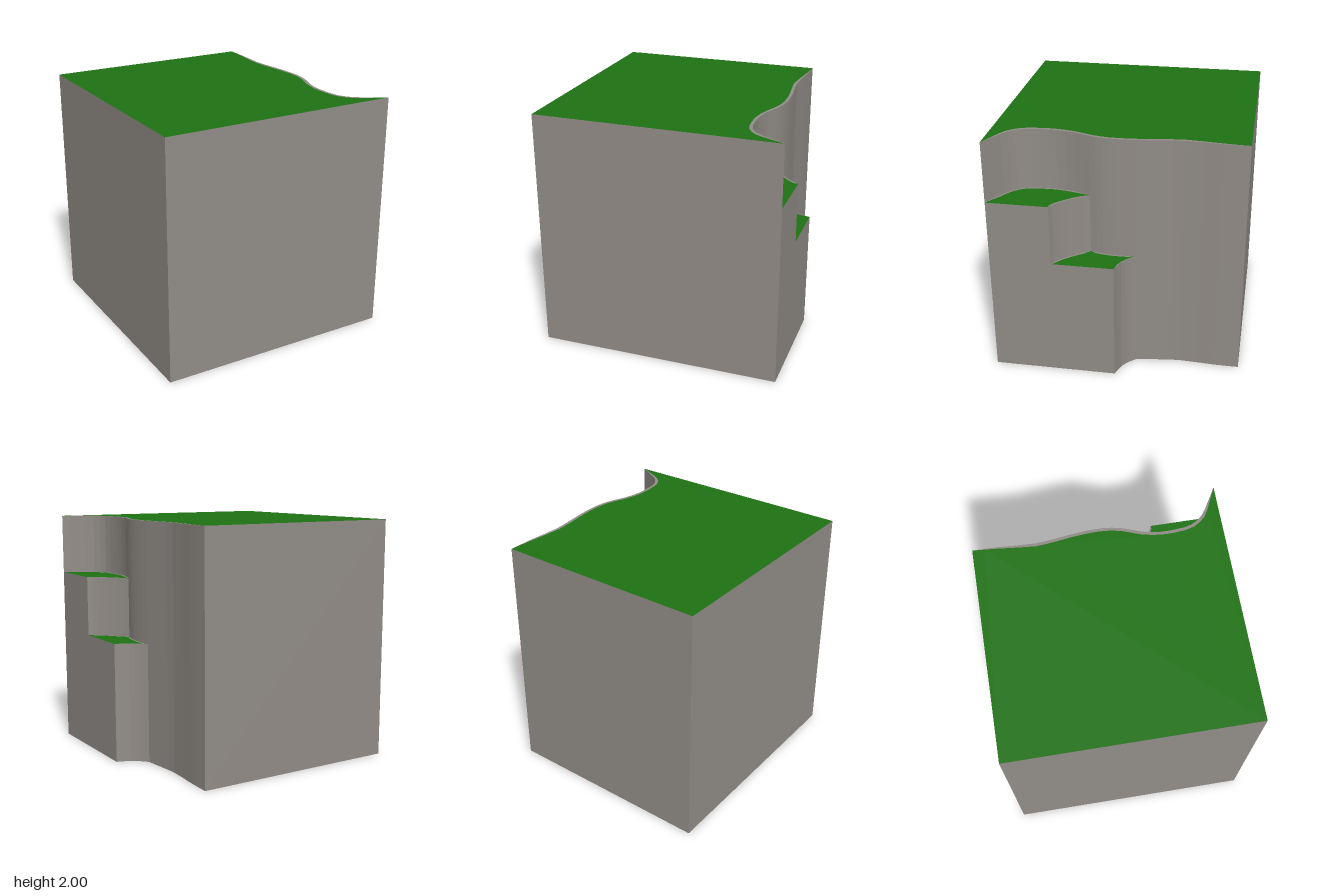
import * as THREE from 'three';

const rock = new THREE.MeshStandardMaterial({ color: 0x918c87, flatShading: true, side: THREE.DoubleSide });
const grass = new THREE.MeshStandardMaterial({ color: 0x1e7213, side: THREE.DoubleSide });

// faceted plan curve through [x, z] points, two facets per span
function planCurve(points) {
  const curve = new THREE.CatmullRomCurve3(points.map(([x, z]) => new THREE.Vector3(x, 0, z)), false, 'centripetal');
  return curve.getPoints(2 * (points.length - 1)).map((p) => [p.x, p.z]);
}

// shift a plan line sideways, tapering to nothing at both ends
function offset(line, width) {
  const last = line.length - 1;
  return line.map(([x, z], i) => {
    const a = line[Math.max(i - 1, 0)], b = line[Math.min(i + 1, last)];
    const dx = b[0] - a[0], dz = b[1] - a[1], len = Math.hypot(dx, dz);
    const t = i / last;
    const w = width * Math.min(1, 7 * t, 7 * (1 - t));
    return [x - (dz / len) * w, z + (dx / len) * w];
  });
}

// strip of faces between two rows of [x, y, z] points
function strip(name, rowA, rowB) {
  const positions = [];
  for (let i = 0; i < rowA.length - 1; i++) {
    const [a, b, c, d] = [rowA[i], rowA[i + 1], rowB[i + 1], rowB[i]];
    positions.push(...a, ...d, ...b, ...b, ...d, ...c);
  }
  const geometry = new THREE.BufferGeometry();
  geometry.setAttribute('position', new THREE.Float32BufferAttribute(positions, 3));
  geometry.computeVertexNormals();
  const mesh = new THREE.Mesh(geometry, rock);
  mesh.name = name;
  return mesh;
}

const at = (line, y) => line.map(([x, z]) => [x, y, z]);
const wall = (name, line, y0, y1) => strip(name, at(line, y1), at(line, y0));
const rim = (name, line, width, y) => strip(name, at(line, y), at(offset(line, width), y));

// flat grass area bounded by a plan outline
function lawn(name, outline, y) {
  const shape = new THREE.Shape(outline.map(([x, z]) => new THREE.Vector2(x, -z)));
  const mesh = new THREE.Mesh(new THREE.ShapeGeometry(shape).rotateX(-Math.PI / 2), grass);
  mesh.position.y = y;
  mesh.name = name;
  return mesh;
}

export function createModel() {
  const group = new THREE.Group();
  group.name = 'steppedCliffBlock';
  const TOP_W = 0.026, LEDGE_W = 0.015, LOW_W = 0.008;

  // main cliff line, split where the ledges join it
  const cliffPoints = [
    [0.75, -1], [0.748, -0.8], [0.732, -0.5], [0.749, -0.33], [0.772, -0.15], [0.78, 0], [0.772, 0.12],
    [0.745, 0.23], [0.70, 0.35], [0.672, 0.5], [0.674, 0.63], [0.696, 0.76], [0.765, 0.855], [0.88, 0.93], [1, 1],
  ];
  const LOWER_JOIN = 4, UPPER_JOIN = 7;
  const cliff = planCurve(cliffPoints);
  const middle = cliff.slice(2 * LOWER_JOIN, 2 * UPPER_JOIN + 1);
  const front = cliff.slice(2 * UPPER_JOIN);

  // rear edges of the two ledges
  const upperEdge = planCurve([cliffPoints[UPPER_JOIN], [0.815, 0.33], [0.895, 0.425], [0.96, 0.48], [1, 0.5]]);
  const lowerEdge = planCurve([cliffPoints[LOWER_JOIN], [0.818, -0.096], [0.888, -0.04], [1, 0]]);

  // outer walls, open underneath
  group.add(
    wall('frontWall', [[-1, 1], [1, 1]], 0, 2),
    wall('rightWall', [[-1, -1], [-1, 1]], 0, 2),
    wall('backWall', [[0.75, -1], [-1, -1]], 0, 2),
    wall('cliffWall', cliff, 0, 2),
    wall('upperLedgeSide', [[1, 1], [1, 0.5]], 0, 1.5),
    wall('upperLedgeBack', upperEdge, 0, 1.5),
    wall('lowerLedgeSide', [[1, 0.5], [1, 0]], 0, 1),
    wall('lowerLedgeBack', lowerEdge, 0, 1),
  );

  // bare rock rims along the cliff lines
  group.add(
    rim('topRim', cliff, TOP_W, 2),
    rim('upperLedgeInnerRim', front, -LEDGE_W, 1.5),
    rim('upperLedgeOuterRim', upperEdge, LEDGE_W, 1.5),
    rim('lowerLedgeInnerRim', middle, -LEDGE_W, 1),
    rim('lowerLedgeMiddleRim', upperEdge, -LEDGE_W, 1),
    rim('lowerLedgeOuterRim', lowerEdge, LOW_W, 1),
  );

  // grass on each level
  const reversed = (line) => line.slice().reverse();
  group.add(
    lawn('topGrass', [...offset(cliff, TOP_W), [-1, 1], [-1, -1]], 2),
    lawn('upperLedgeGrass', [
      ...offset(front, -LEDGE_W),
      ...reversed(offset(upperEdge, LEDGE_W)).slice(0, -1),
    ], 1.5),
    lawn('lowerLedgeGrass', [
      ...offset(middle, -LEDGE_W),
      ...offset(upperEdge, -LEDGE_W).slice(1),
      ...reversed(offset(lowerEdge, LOW_W)).slice(0, -1),
    ], 1),
  );
  return group;
}
